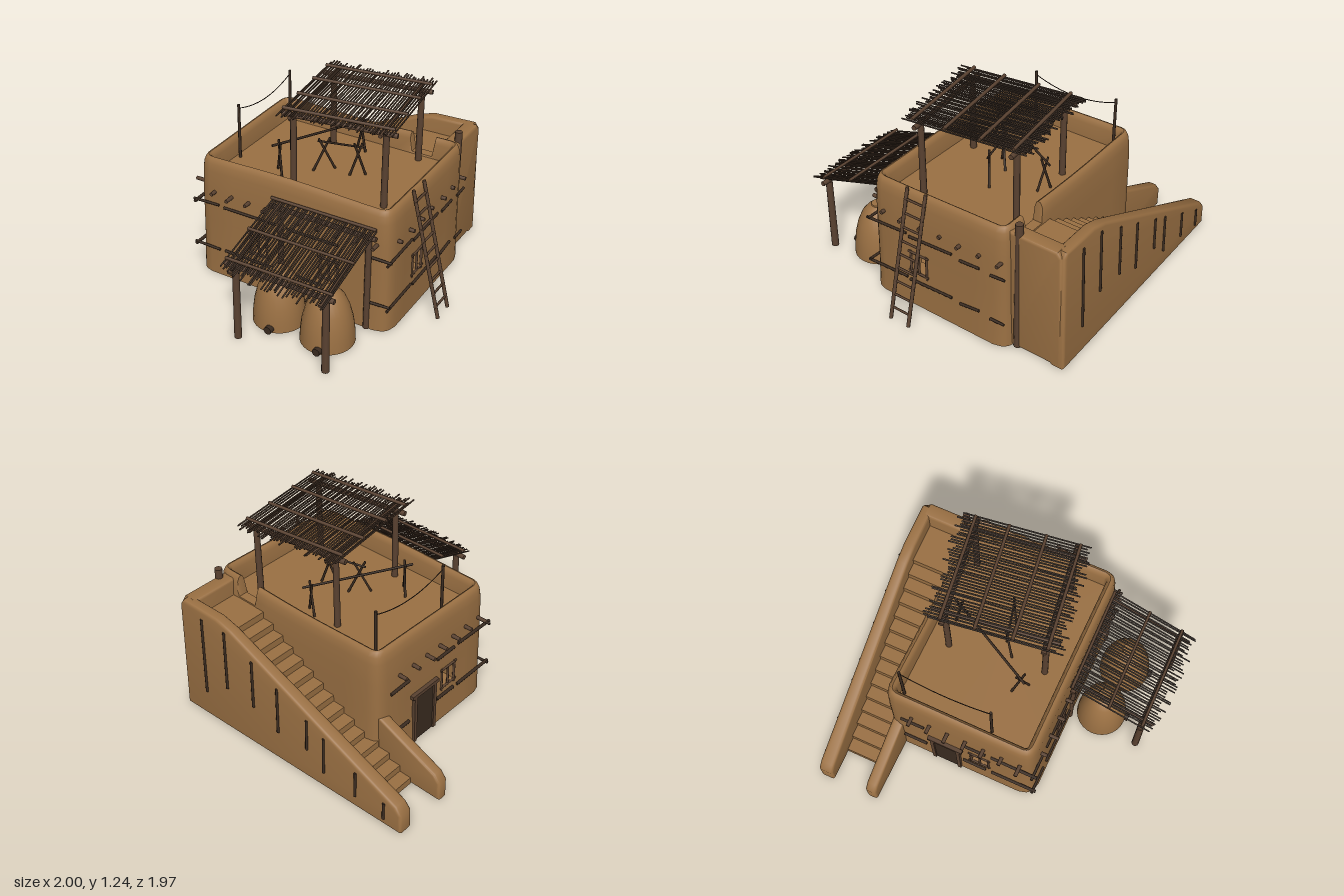
import * as THREE from 'three';
import { toCreasedNormals } from 'three/addons/utils/BufferGeometryUtils.js';

const mat = (name, color, extra = {}) => {
  const m = new THREE.MeshStandardMaterial({ color, ...extra });
  m.name = name;
  return m;
};
const V = (x, y, z) => new THREE.Vector3(x, y, z);
let seed = 7;
const rnd = () => ((seed = (seed * 16807) % 2147483647) / 2147483647);
const jit = (a) => (rnd() - 0.5) * 2 * a;

// House footprint and openings
const X0 = -0.57, X1 = 0.8, Z0 = -0.64, Z1 = 0.39, R = 0.1;
const WINDOWS = [
  { side: 'front', c: -0.11 }, { side: 'front', c: 0.39 },
  { side: 'right', c: 0.015 }, { side: 'left', c: 0.015 },
];
const WH = 0.055, WY0 = 0.25, WY1 = 0.39;

// Adobe shell lofted from rounded rectangles, turning over the parapet down to the roof
function houseGeometry() {
  const xs = [X0, X0 + 0.04, X0 + R, -0.3, -0.165, -0.055, 0.1, 0.22, 0.335, 0.43, 0.445, 0.585, 0.6, X1 - R, X1 - 0.04];
  const zs = [Z1, Z1 - 0.04, Z1 - R, 0.18, 0.07, -0.04, -0.2, -0.38, Z0 + R, Z0 + 0.04];
  const base = [
    ...xs.map((x) => [x, Z1]), ...zs.map((z) => [X1, z]),
    ...[X1, ...xs.slice(1).reverse()].map((x) => [x, Z0]),
    ...[Z0, ...zs.slice(1).reverse()].map((z) => [X0, z]),
  ];
  const rings = [[0, 0], [0.004, 0.12], [0.008, WY0], [0.01, WY1], [0.012, 0.6], [0.018, 0.74], [0.026, 0.79],
    [0.04, 0.82], [0.055, 0.826], [0.07, 0.815], [0.08, 0.785], [0.086, 0.69]];
  const pos = [], idx = [], n = base.length;
  for (const [inset, y] of rings) for (const [x, z] of base) {
    const cx = Math.min(Math.max(x, X0 + R), X1 - R), cz = Math.min(Math.max(z, Z0 + R), Z1 - R);
    const d = new THREE.Vector2(x - cx, z - cz).setLength(R - inset);
    const notch = z === Z0 && x > 0.44 && x < 0.59;
    const wave = y > 0.72 ? 0.007 * Math.sin(5 * x + 3 * z) : 0;
    pos.push(cx + d.x, notch ? Math.min(y, 0.7) : y + wave, cz + d.y);
  }
  const isOpening = (a, b) => WINDOWS.some(({ side, c }) => {
    const u = side === 'front' ? 0 : 1, edge = { front: Z1, right: X1, left: X0 }[side];
    return a[1 - u] === edge && b[1 - u] === edge && Math.abs((a[u] + b[u]) / 2 - c) < 0.02;
  });
  for (let j = 0; j < rings.length - 1; j++) for (let i = 0; i < n; i++) {
    const k = (i + 1) % n;
    if (j === 2 && isOpening(base[i], base[k])) continue;
    const a = j * n + i, b = j * n + k;
    idx.push(a, b, b + n, a, b + n, a + n);
  }
  const top = (rings.length - 1) * n, c = pos.length / 3;
  pos.push(0.115, 0.69, -0.125, 0.115, 0, -0.125);
  for (let i = 0; i < n; i++) {
    const k = (i + 1) % n;
    idx.push(c, top + i, top + k, c + 1, k, i);
  }
  const g = new THREE.BufferGeometry();
  g.setAttribute('position', new THREE.Float32BufferAttribute(pos, 3));
  g.setIndex(idx);
  return toCreasedNormals(g, 0.9);
}

// Rounded wall from a side profile; shift(x, y) leans it in z
function wallGeometry(points, z, depth, shift = () => 0) {
  const b = 0.018;
  const s = new THREE.Shape(points.map(([x, y]) => new THREE.Vector2(x, y)));
  const g = new THREE.ExtrudeGeometry(s, { depth: depth - 2 * b, bevelSize: b, bevelOffset: -b, bevelThickness: b, bevelSegments: 3 });
  const p = g.attributes.position;
  for (let i = 0; i < p.count; i++) p.setZ(i, p.getZ(i) + z + b + shift(p.getX(i), p.getY(i), p.getZ(i)));
  return toCreasedNormals(g, 0.8);
}

export function createModel() {
  const clay = mat('clay', 0x9a7043, { side: THREE.DoubleSide });
  const wood = mat('wood', 0x5a4231);
  const dark = mat('dark sticks', 0x3a2b20);
  const model = new THREE.Group();
  model.name = 'adobeHouse';

  const add = (name, geo, m, parent = model) => {
    const mesh = new THREE.Mesh(geo, m);
    mesh.name = name;
    parent.add(mesh);
    return mesh;
  };
  const group = (name) => {
    const g = new THREE.Group();
    g.name = name;
    model.add(g);
    return g;
  };
  const box = (name, x0, x1, y0, y1, z0, z1, m, parent) => {
    const mesh = add(name, new THREE.BoxGeometry(x1 - x0, y1 - y0, z1 - z0), m, parent);
    mesh.position.set((x0 + x1) / 2, (y0 + y1) / 2, (z0 + z1) / 2);
    return mesh;
  };
  const rod = (name, a, b, r, m, parent, sides = 8) => {
    const mesh = add(name, new THREE.CylinderGeometry(r * 0.92, r, a.distanceTo(b), sides), m, parent);
    mesh.position.copy(a).lerp(b, 0.5);
    mesh.quaternion.setFromUnitVectors(V(0, 1, 0), b.clone().sub(a).normalize());
    return mesh;
  };

  add('houseWalls', houseGeometry(), clay);

  // Windows: reveals and barred frames, built facing +z then turned to their wall
  for (const { side, c } of WINDOWS) {
    const w = group(side + 'Window');
    if (side === 'front') w.position.set(c, 0, Z1 - 0.01);
    else {
      w.position.set(side === 'right' ? X1 - 0.01 : X0 + 0.01, 0, c);
      w.rotation.y = side === 'right' ? Math.PI / 2 : -Math.PI / 2;
    }
    for (const s of [-1, 1]) {
      const x = s * (WH + 0.005);
      box('reveal', x - 0.005, x + 0.005, WY0, WY1, -0.09, 0, clay, w);
      rod('jamb', V(x, WY0 - 0.02, 0), V(x, WY1 + 0.01, 0), 0.009, wood, w);
    }
    for (const y of [WY0, WY1]) {
      box('reveal', -WH, WH, y - 0.005, y + 0.005, -0.09, 0, clay, w);
      rod('lintel', V(-0.075, y, 0.003), V(0.075, y, 0.003), 0.008, wood, w);
    }
    rod('bar', V(0, WY0, 0), V(0, WY1, 0), 0.008, wood, w);
  }

  // Door on the left wall
  const door = group('door');
  box('doorPanel', X0 - 0.004, X0 + 0.02, 0, 0.35, -0.3, -0.14, dark, door);
  for (const z of [-0.31, -0.13]) box('doorJamb', X0 - 0.014, X0 + 0.02, 0, 0.36, z - 0.012, z + 0.012, wood, door);
  box('doorLintel', X0 - 0.016, X0 + 0.02, 0.35, 0.375, -0.34, -0.1, wood, door);

  // Roof beam ends around three walls
  const beams = group('roofBeamEnds');
  for (let i = 0; i < 10; i++) rod('beamEnd', V(-0.43 + i * 0.126, 0.6, 0.3), V(-0.43 + i * 0.126, 0.6, 0.43 + jit(0.012)), 0.013, wood, beams);
  for (let i = 0; i < 7; i++) {
    const zl = -0.44 + i * 0.122, zr = -0.58 + i * 0.142;
    rod('beamEnd', V(-0.5, 0.6, zl), V(-0.62 + jit(0.012), 0.6, zl), 0.013, wood, beams);
    rod('beamEnd', V(0.7, 0.6, zr), V(0.815 + jit(0.012), 0.6, zr), 0.013, wood, beams);
  }

  // Half-buried binding poles along the walls
  const poles = group('wallPoles');
  for (const [y, o] of [[0.51, 0.006], [0.195, 0]]) {
    for (const [a, b] of [[-0.59, -0.4], [-0.36, 0.02], [0.1, 0.45], [0.68, 0.81]])
      rod('frontPole', V(a, y, Z1 - o), V(b, y + jit(0.008), Z1 - o), 0.009, dark, poles);
    for (const [a, b] of [[0.41, 0.1], [0.08, -0.24], [-0.3, -0.44], [-0.52, -0.62]])
      rod('rightPole', V(X1 - o, y - 0.01, a), V(X1 - o, y + jit(0.008), b), 0.009, dark, poles);
    for (const [a, b] of [[0.41, 0.1], [0.06, -0.1], [-0.36, -0.52]])
      rod('leftPole', V(X0 + o, y, a), V(X0 + o, y + jit(0.008), b), 0.011, dark, poles);
  }

  // Back staircase with its side walls and landing
  const stairs = group('staircase');
  const rise = 0.69 / 15, run = 1.16 / 14;
  for (let i = 0; i < 14; i++)
    box('step', -0.79 + i * run, -0.79 + (i + 1) * run + 0.002, 0, (i + 1) * rise, -0.91, -0.58, clay, stairs);
  box('landing', 0.37, 0.66, 0, 0.69, -0.93, -0.56, clay, stairs);
  const lean = (x, y, z) => -0.03 * (x + 1) + (z < 0.02 ? -0.025 * (1 - y / 0.81) : 0);
  add('outerStairWall', wallGeometry([[-1, 0], [-1, 0.13], [-0.96, 0.18], [-0.4, 0.44], [0.3, 0.765], [0.42, 0.8],
    [0.7, 0.805], [0.725, 0.77], [0.735, 0]], -0.915, 0.075, lean), clay, stairs);
  add('innerStairWall', wallGeometry([[-1, 0], [-1, 0.13], [-0.96, 0.18], [-0.52, 0.37], [-0.52, 0]], -0.6, 0.075), clay, stairs);
  const end = add('endStairWall', wallGeometry([[-0.97, 0], [-0.95, 0.77], [-0.92, 0.805], [-0.6, 0.805], [-0.6, 0]], 0.63, 0.1), clay, stairs);
  end.geometry.rotateY(-Math.PI / 2).translate(1.36, 0, 0).rotateY(0);
  end.geometry.applyMatrix4(new THREE.Matrix4().makeTranslation(0, 0, 0));
  end.geometry.computeBoundingBox();
  const bb = end.geometry.boundingBox;
  end.position.set(0.735 - bb.max.x, 0, -0.6 - bb.max.z);
  for (const [x, len] of [[0.54, 0.55], [0.35, 0.42], [0.13, 0.34], [-0.07, 0.33], [-0.3, 0.22], [-0.43, 0.26], [-0.67, 0.18], [-0.88, 0.12]]) {
    const top = Math.min(0.74, 0.18 + (x + 0.96) * 0.465 - 0.05), zAt = (y) => -0.917 + lean(x, y, 0);
    rod('wallStake', V(x, top - len, zAt(top - len)), V(x, top, zAt(top)), 0.009, dark, stairs);
  }
  rod('cornerPost', V(0.72, 0, -0.66), V(0.715, 0.87, -0.66), 0.026, wood, stairs, 10);

  // Beehive ovens
  for (const [x, z, r] of [[0.16, 0.57, 0.163], [0.51, 0.59, 0.167]]) {
    const oven = group('oven');
    oven.position.set(x, 0, z);
    const prof = [[1, 0], [0.98, 0.07], [0.92, 0.15], [0.8, 0.23], [0.62, 0.3], [0.42, 0.34], [0.25, 0.355]];
    add('ovenDome', new THREE.LatheGeometry(prof.map(([a, y]) => new THREE.Vector2(a * r, y)), 28), clay, oven);
    rod('ovenCap', V(0, 0.34, 0), V(0, 0.365, 0), 0.045, clay, oven, 14);
    rod('ovenPlug', V(0.03, 0.025, r - 0.03), V(0.03, 0.025, r + 0.02), 0.028, dark, oven, 10);
  }

  // Front canopy
  const canopy = group('canopy');
  const slope = (z) => 0.695 - (z - 0.37) * 0.315;
  for (const x of [0.055, 0.655]) {
    rod('frontPost', V(x, 0, 0.86), V(x, 0.5, 0.86), 0.024, wood, canopy, 10);
    rod('backPost', V(x, 0, 0.385), V(x, 0.65, 0.385), 0.02, wood, canopy, 10);
    rod('rafter', V(x, slope(0.93) - 0.02, 0.93), V(x, slope(0.38) - 0.02, 0.38), 0.012, wood, canopy);
  }
  for (const z of [0.4, 0.86]) rod('crossBeam', V(-0.015, slope(z) - 0.035, z), V(0.71, slope(z) - 0.035, z), 0.017, wood, canopy);
  for (const z of [0.39, 0.64, 0.87]) rod('topPole', V(-0.005, slope(z) + 0.012, z), V(0.7, slope(z) + 0.012, z - 0.01), 0.01, wood, canopy);
  for (let i = 0; i < 40; i++) {
    const x = i * 0.0178, a = 0.37 + jit(0.012), b = 0.945 + jit(0.035);
    rod('reed', V(x + jit(0.005), slope(a), a), V(x + jit(0.005), slope(b), b), 0.0055, dark, canopy, 5);
  }

  // Rooftop shade, turned slightly
  const shade = group('roofShade');
  shade.position.set(0.275, 0, -0.153);
  shade.rotation.y = 0.134;
  for (const sx of [-1, 1]) {
    for (const sz of [-1, 1]) rod('shadePost', V(sx * 0.29, 0.67, sz * 0.31), V(sx * 0.29, 1.165, sz * 0.31), 0.021, wood, shade, 10);
    rod('sideBeam', V(sx * 0.28, 1.192, -0.39), V(sx * 0.28, 1.192, 0.39), 0.013, wood, shade);
  }
  for (const z of [-0.31, 0.31]) rod('shadeBeam', V(-0.36, 1.173, z), V(0.36, 1.173, z), 0.017, wood, shade);
  for (const z of [-0.32, -0.11, 0.12, 0.33]) rod('topPole', V(-0.35, 1.222, z), V(0.35, 1.222, z), 0.011, wood, shade);
  for (let i = 0; i < 40; i++) {
    const x = -0.35 + i * 0.0179;
    rod('reed', V(x + jit(0.005), 1.209, -0.4 + jit(0.03)), V(x + jit(0.005), 1.209, 0.4 + jit(0.03)), 0.0055, dark, shade, 5);
  }

  // Drying rack: crossed legs carrying a pole
  const rack = group('dryingRack');
  for (const [x, z, dx, dz] of [[-0.13, 0.1, 0.04, 0.04], [0.15, -0.43, 0.04, 0.02], [0.08, -0.08, 0.05, -0.05], [0.29, -0.13, 0.04, -0.03]])
    for (const s of [-1, 1]) rod('rackLeg', V(x - s * dx, 0.69, z - s * dz), V(x + s * dx * 0.5, 0.91, z + s * dz * 0.5), 0.008, dark, rack, 6);
  rod('rackPole', V(-0.16, 0.89, 0.14), V(0.17, 0.89, -0.48), 0.008, dark, rack, 6);
  rod('rackPole', V(0.04, 0.885, -0.07), V(0.32, 0.885, -0.14), 0.007, dark, rack, 6);

  // Clothesline
  const line = group('clothesline');
  for (const z of [0.06, -0.53]) rod('linePost', V(-0.455, 0.69, z), V(-0.455, 1.06, z), 0.01, dark, line);
  const rope = new THREE.QuadraticBezierCurve3(V(-0.455, 1.035, 0.06), V(-0.455, 0.925, -0.235), V(-0.455, 1.035, -0.53));
  add('rope', new THREE.TubeGeometry(rope, 16, 0.003, 5), dark, line);

  // Ladder leaning on the right wall
  const ladder = group('ladder');
  const lx = (y) => 0.985 - y * 0.247;
  for (const z of [0.085, -0.05]) rod('rail', V(lx(0), 0.005, z), V(lx(0.84), 0.84, z), 0.012, wood, ladder);
  for (let i = 0; i < 9; i++) {
    const y = 0.08 + i * 0.086;
    rod('rung', V(lx(y), y, 0.095), V(lx(y), y, -0.06), 0.008, wood, ladder, 6);
  }
  return model;
}
